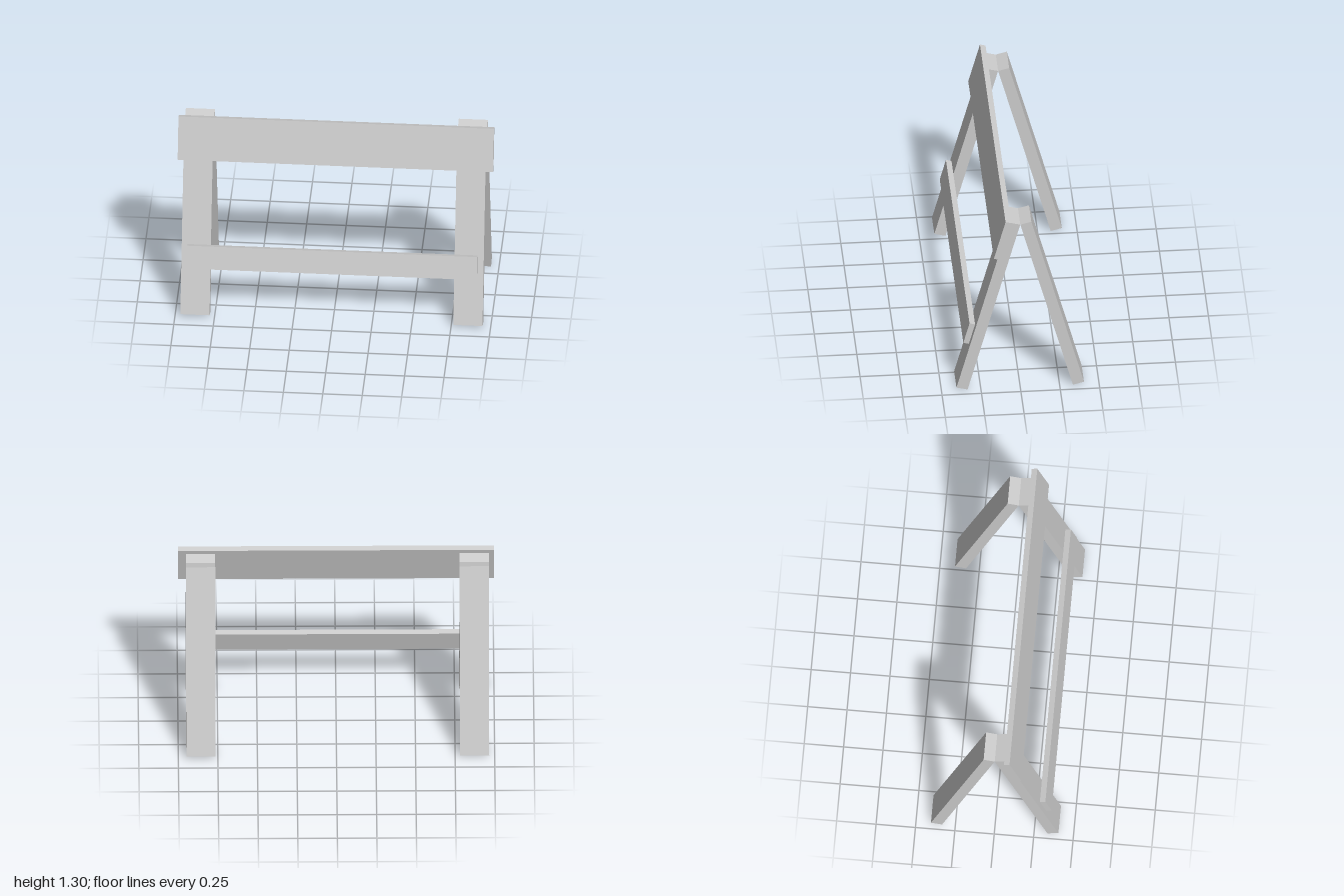
import * as THREE from 'three';

const TILT = THREE.MathUtils.degToRad(15.05);
const RIDGE = 1.243; // height where the two leg frames meet
const LEG = { width: 0.185, length: 1.287, depth: 0.0727 };
const BOARD_DEPTH = 0.0365;

export function createModel() {
  const model = new THREE.Group();
  model.name = 'barricade';
  const material = new THREE.MeshStandardMaterial({ color: 0xcccccc, flatShading: true });

  const plank = (parent, name, size, position) => {
    const mesh = new THREE.Mesh(new THREE.BoxGeometry(...size), material);
    mesh.name = name;
    mesh.position.set(...position);
    parent.add(mesh);
  };

  // Leaning frames hinged at the ridge: side 1 is the front, -1 the back
  const makeFrame = (name, side) => {
    const frame = new THREE.Group();
    frame.name = name;
    frame.position.y = RIDGE;
    frame.rotation.x = -side * TILT;
    for (const [label, x] of [['Left', 0.857], ['Right', -0.873]]) {
      plank(frame, `${name}${label}Leg`, [LEG.width, LEG.length, LEG.depth],
        [x, -LEG.length / 2, side * LEG.depth / 2]);
    }
    model.add(frame);
    return frame;
  };

  const front = makeFrame('front', 1);
  makeFrame('back', -1);

  // Boards lying on the outer face of the front legs
  const boardZ = LEG.depth + BOARD_DEPTH / 2;
  plank(front, 'topBoard', [2, 0.2865, BOARD_DEPTH], [0, -0.1116, boardZ]);
  plank(front, 'lowerRail', [1.84, 0.152, BOARD_DEPTH], [-0.01, -0.897, boardZ]);

  return model;
}
